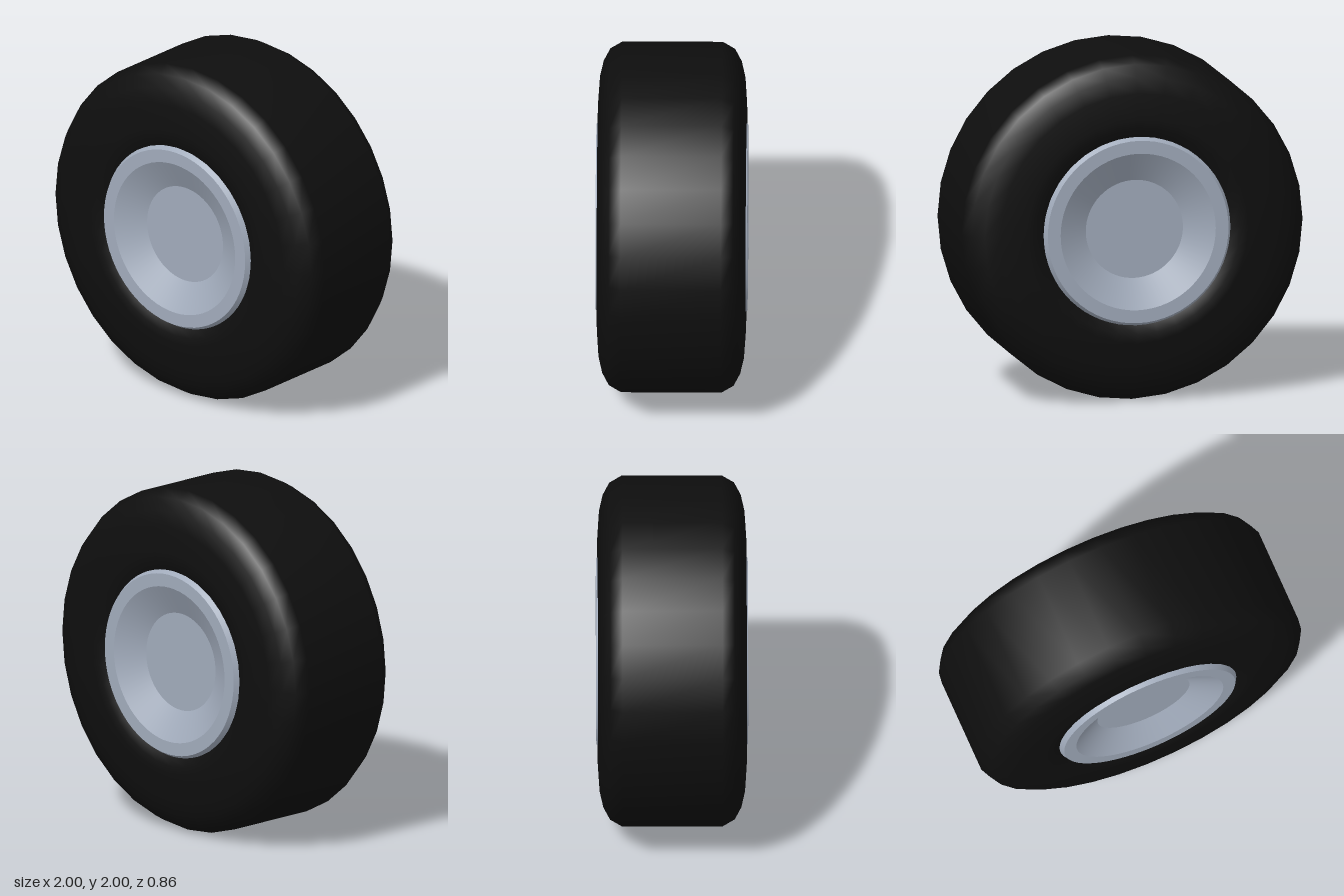
import * as THREE from 'three';

const rubber = new THREE.MeshStandardMaterial({ color: 0x0e0e0e });
rubber.name = 'black rubber';
const metal = new THREE.MeshStandardMaterial({ color: 0xa0aaba });
metal.name = 'grey metal';

// Revolve [radius, z] points around the z axis; rising z faces outward.
function revolve(name, points, segments, material) {
  const profile = points.map(([r, z]) => new THREE.Vector2(r, z));
  const geometry = new THREE.LatheGeometry(profile, segments).rotateX(Math.PI / 2);
  const mesh = new THREE.Mesh(geometry, material);
  mesh.name = name;
  return mesh;
}

export function createModel() {
  const wheel = new THREE.Group();
  wheel.name = 'wheel';
  const axle = new THREE.Group();
  axle.name = 'wheelAssembly';
  axle.position.y = 1;
  wheel.add(axle);

  // Tyre: flat tread with rounded shoulders, mirrored front to back
  const half = [
    [1, 0.285], [0.96, 0.355], [0.89, 0.393], [0.8, 0.414],
    [0.65, 0.424], [0.6, 0.424], [0.55, 0.404], [0.5, 0.38],
  ];
  const back = half.map(([r, z]) => [r, -z]).reverse();
  axle.add(revolve('tyre', [...back, ...half], 32, rubber));

  // Dished rim on both sides, one mesh per face so its edges stay sharp
  const rim = [[0.555, 0.392], [0.53, 0.432], [0.455, 0.432], [0.285, 0.34], [0, 0.34]];
  const names = ['rimBevel', 'rimLip', 'rimDish', 'hubFace'];
  for (const side of ['front', 'back']) {
    const group = new THREE.Group();
    group.name = side + 'Rim';
    names.forEach((name, i) => group.add(revolve(name, [rim[i], rim[i + 1]], 64, metal)));
    if (side === 'back') group.rotation.y = Math.PI;
    axle.add(group);
  }
  return wheel;
}
